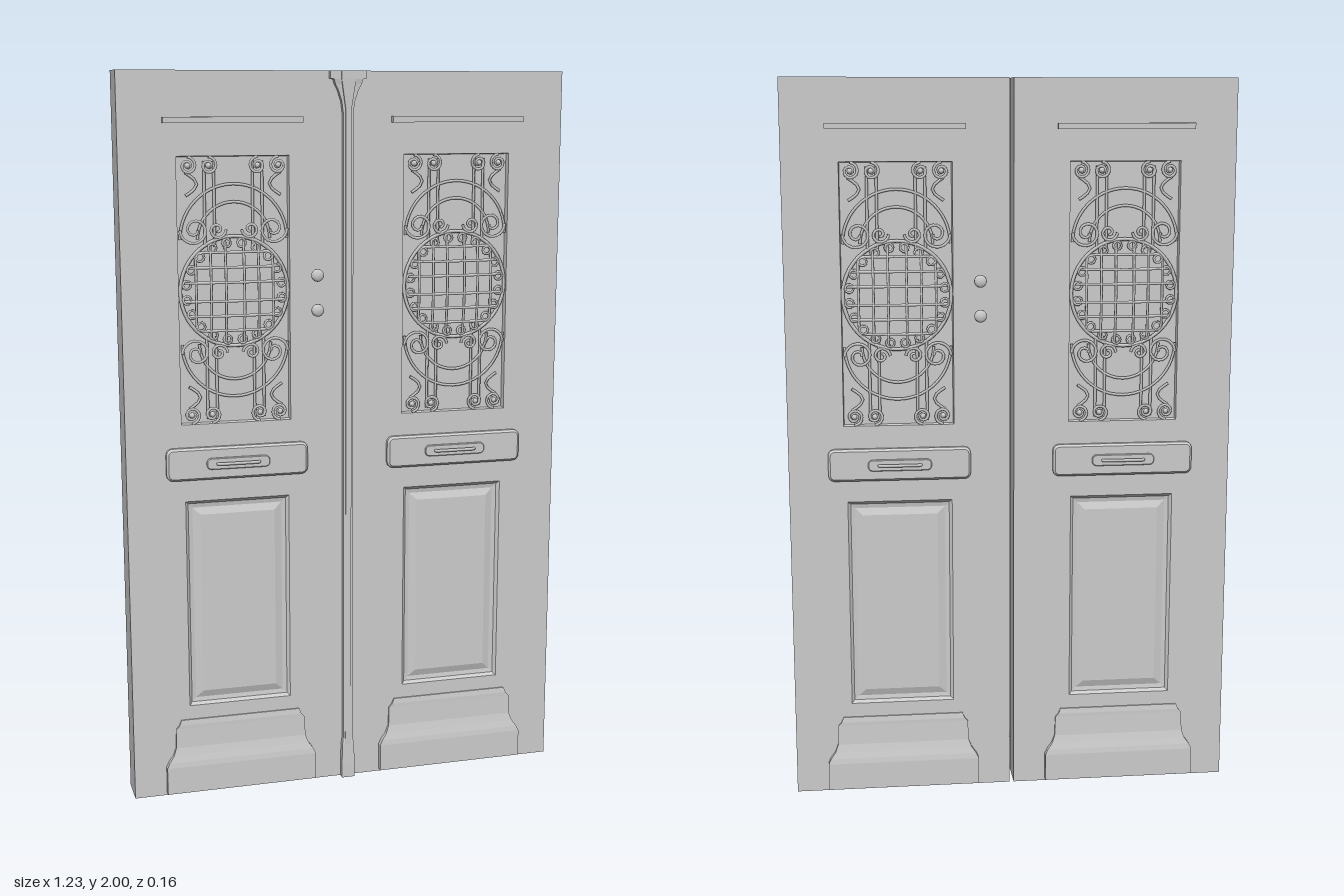
import * as THREE from 'three';
import { mergeGeometries } from 'three/addons/utils/BufferGeometryUtils.js';

const FRONT = 0.0475;   // half of the leaf thickness
const CX = 0.312;       // centre line of each leaf's ornaments
const mat = new THREE.MeshStandardMaterial({ color: 0xcccccc, side: THREE.DoubleSide });

function mesh(name, geometry, x = 0, y = 0, z = 0) {
  const m = new THREE.Mesh(geometry, mat);
  m.name = name;
  m.position.set(x, y, z);
  return m;
}

// Geometry from a list of four-cornered faces
function quads(list) {
  const pos = [];
  for (const [a, b, c, d] of list) pos.push(...a, ...b, ...c, ...a, ...c, ...d);
  const g = new THREE.BufferGeometry();
  g.setAttribute('position', new THREE.Float32BufferAttribute(pos, 3));
  g.computeVertexNormals();
  return g;
}

// Nested rectangles [halfWidth, halfHeight, z], closed by the last one
function nestedPanel(rings) {
  const c = rings.map(([w, h, z]) => [[-w, -h, z], [w, -h, z], [w, h, z], [-w, h, z]]);
  const faces = [c[c.length - 1]];
  for (let r = 0; r + 1 < c.length; r++) {
    for (let i = 0; i < 4; i++) {
      const j = (i + 1) % 4;
      faces.push([c[r][i], c[r][j], c[r + 1][j], c[r + 1][i]]);
    }
  }
  return quads(faces);
}

// Moulding on a flat ground, from rows [halfWidth, y, z] going upward
function moulding(rows) {
  const faces = [];
  const [wa, ya, za] = rows[0], [wb, yb, zb] = rows[rows.length - 1];
  faces.push([[-wa, ya, 0], [wa, ya, 0], [wa, ya, za], [-wa, ya, za]]);
  faces.push([[-wb, yb, zb], [wb, yb, zb], [wb, yb, 0], [-wb, yb, 0]]);
  for (let i = 0; i + 1 < rows.length; i++) {
    const [w0, y0, z0] = rows[i], [w1, y1, z1] = rows[i + 1];
    faces.push([[-w0, y0, z0], [w0, y0, z0], [w1, y1, z1], [-w1, y1, z1]]);
    faces.push([[-w0, y0, 0], [-w0, y0, z0], [-w1, y1, z1], [-w1, y1, 0]]);
    faces.push([[w0, y0, z0], [w0, y0, 0], [w1, y1, 0], [w1, y1, z1]]);
  }
  return quads(faces);
}

function roundedPlate(w, h, r, depth, bevel) {
  const x = w / 2 - bevel, y = h / 2 - bevel, s = new THREE.Shape();
  s.moveTo(-x + r, -y).lineTo(x - r, -y).quadraticCurveTo(x, -y, x, -y + r);
  s.lineTo(x, y - r).quadraticCurveTo(x, y, x - r, y);
  s.lineTo(-x + r, y).quadraticCurveTo(-x, y, -x, y - r);
  s.lineTo(-x, -y + r).quadraticCurveTo(-x, -y, -x + r, -y);
  return new THREE.ExtrudeGeometry(s, {
    depth: depth - bevel, bevelSize: bevel, bevelThickness: bevel, bevelSegments: 1, curveSegments: 5,
  });
}

// Wrought iron rod along f(t), t from 0 to 1
function rod(f, n, r = 0.004) {
  const pts = Array.from({ length: n + 1 }, (_, i) => new THREE.Vector3(...f(i / n)));
  return new THREE.TubeGeometry(new THREE.CatmullRomCurve3(pts), n, r, 5, false);
}
const arc = (cx, cy, r, a0, a1, n = 24, thick = 0.004) => rod((t) => {
  const a = a0 + (a1 - a0) * t;
  return [cx + r * Math.cos(a), cy + r * Math.sin(a), 0];
}, n, thick);
const scroll = (cx, cy, r, a0, turns) => rod((t) => {
  const a = a0 + turns * 2 * Math.PI * t, q = r * (1 - 0.8 * t);
  return [cx + q * Math.cos(a), cy + q * Math.sin(a), 0.002];
}, 22);

function grilleGeometry() {
  const R = 0.147, parts = [], PI = Math.PI;
  // Centre ring with a bowed lattice
  parts.push(new THREE.TorusGeometry(R, 0.005, 6, 48));
  const bow = (x, y) => 0.014 * (1 - (x * x + y * y) / (R * R));
  for (const k of [-0.105, -0.065, -0.025, 0.025, 0.065, 0.105]) {
    const half = Math.sqrt(R * R - k * k);
    parts.push(rod((t) => { const y = half * (2 * t - 1); return [k, y, bow(k, y)]; }, 10));
    parts.push(rod((t) => { const x = half * (2 * t - 1); return [x, k, bow(x, k)]; }, 10));
  }
  // Small curls inside the ring
  for (let i = 0; i < 20; i++) {
    const a = (i + 0.5) / 20 * 2 * PI;
    const curl = new THREE.TorusGeometry(0.011, 0.0035, 5, 10);
    curl.translate(0.131 * Math.cos(a), 0.131 * Math.sin(a), 0.003);
    parts.push(curl);
  }
  for (const s of [1, -1]) {
    // Concentric arches above and below
    parts.push(arc(0, s * 0.14, 0.145, 0, s * PI, 28));
    parts.push(arc(0, s * 0.14, 0.098, 0, s * PI, 22));
    for (const m of [1, -1]) {
      // Scrolls where arches meet the ring
      const start = s > 0 ? (m > 0 ? 0 : PI) : (m > 0 ? 0 : -PI);
      parts.push(scroll(m * 0.106, s * 0.165, 0.04, start, -m * s * 1.5));
      parts.push(scroll(m * 0.045, s * 0.165, 0.024, start + PI, m * s * 1.3));
      // Upright rods with curled ends
      for (const x of [0.052, 0.078]) {
        parts.push(rod((t) => [m * x, s * (0.12 + 0.225 * t), 0], 2));
      }
      for (const x of [0.066, 0.122]) {
        parts.push(scroll(m * x, s * 0.333, 0.023, s * PI / 2, m * s * 1.6));
        const bud = new THREE.SphereGeometry(0.008, 8, 6);
        bud.translate(m * x, s * 0.333, 0.003);
        parts.push(bud);
      }
      parts.push(rod((t) => [m * (0.128 - 0.03 * Math.sin(PI * t)), s * (0.315 - 0.06 * t), 0], 6));
    }
  }
  return mergeGeometries(parts.map((g) => g.toNonIndexed()));
}

// One leaf with openings for the window and the lower panel
function leafGeometry(side) {
  const s = new THREE.Shape();
  s.moveTo(0.006, 0).lineTo(0.617, 0).lineTo(0.617, 2).lineTo(0.006, 2).closePath();
  for (const [cy, w, h] of [[1.422, 0.152, 0.358], [0.555, 0.145, 0.295]]) {
    const hole = new THREE.Path();
    hole.moveTo(CX - w, cy - h).lineTo(CX - w, cy + h).lineTo(CX + w, cy + h).lineTo(CX + w, cy - h).closePath();
    s.holes.push(hole);
  }
  const g = new THREE.ExtrudeGeometry(s, { depth: 2 * FRONT, bevelEnabled: false });
  g.translate(0, 0, -FRONT);
  if (side < 0) g.rotateY(Math.PI);
  return g;
}

// All ornaments on one face of the door
function createFace() {
  const face = new THREE.Group();
  const grille = grilleGeometry();
  const pane = nestedPanel([[0.152, 0.358, 0], [0.15, 0.356, -0.016]]);
  const panel = nestedPanel([
    [0.145, 0.295, 0], [0.137, 0.287, -0.008], [0.125, 0.275, -0.01], [0.104, 0.255, -0.003],
  ]);
  const kick = moulding([
    [0.215, 0.008, 0.018], [0.215, 0.085, 0.018], [0.208, 0.1, 0.016], [0.195, 0.118, 0.012],
    [0.187, 0.14, 0.008], [0.185, 0.195, 0.006], [0.176, 0.205, 0.006], [0.17, 0.22, 0.004],
  ]);
  const loop = rod((t) => {
    const a = Math.PI * t, c = Math.cos(a);
    return [0.058 * Math.sign(c) * Math.abs(c) ** 0.25, 0, 0.016 + 0.0125 * Math.sin(a) ** 0.25];
  }, 24, 0.0045);
  for (const side of [-1, 1]) {
    const x = side * CX;
    const leaf = new THREE.Group();
    leaf.name = side > 0 ? 'leftLeafTrim' : 'rightLeafTrim';
    leaf.add(
      mesh('windowPane', pane, x, 1.422),
      mesh('windowGrille', grille, x, 1.422, -0.004),
      mesh('lowerPanel', panel, x, 0.555),
      mesh('kickPlate', kick, x, 0),
      mesh('topStrip', new THREE.BoxGeometry(0.375, 0.016, 0.016), x, 1.873, 0.008),
      mesh('letterPlate', roundedPlate(0.394, 0.09, 0.014, 0.016, 0.006), x, 0.956),
      mesh('slotPlate', roundedPlate(0.176, 0.032, 0.013, 0.007, 0.002), x, 0.956, 0.015),
      mesh('slotHandle', loop, x, 0.956),
    );
    face.add(leaf);
  }
  // Pair of knobs beside the seam
  const profile = [[0.011, 0], [0.01, 0.004], [0.007, 0.007], [0.012, 0.01], [0.0175, 0.016],
    [0.0165, 0.022], [0.01, 0.026], [0, 0.027]].map(([r, h]) => new THREE.Vector2(r, h));
  const knob = new THREE.LatheGeometry(profile, 20).rotateX(Math.PI / 2);
  for (const y of [1.46, 1.365]) face.add(mesh('knob', knob, -0.087, y));
  face.position.z = FRONT;
  return face;
}

export function createModel() {
  const model = new THREE.Group();
  model.name = 'doubleDoor';
  const door = new THREE.Group();
  door.name = 'door';
  door.position.z = -0.003;
  model.add(door);

  for (const side of [-1, 1]) door.add(mesh(side > 0 ? 'leftLeaf' : 'rightLeaf', leafGeometry(side)));

  // The back repeats the front, turned half round
  const front = createFace();
  front.name = 'frontTrim';
  const back = front.clone();
  back.name = 'backTrim';
  back.rotation.y = Math.PI;
  back.position.z = -FRONT;
  door.add(front, back);

  // Cover strip over the seam, flaring into a capital
  const strip = moulding([
    [0.019, 0, 0.019], [0.019, 0.04, 0.019], [0.017, 0.1, 0.017], [0.014, 0.12, 0.014],
    [0.014, 1.89, 0.014], [0.018, 1.92, 0.014], [0.028, 1.95, 0.015], [0.036, 1.965, 0.016],
    [0.04, 1.978, 0.018], [0.05, 1.98, 0.018], [0.05, 2, 0.018],
  ]);
  const rib = moulding([[0.01, 0.1, 0.017], [0.008, 0.14, 0.018], [0.008, 1.9, 0.018], [0.02, 1.98, 0.021], [0.02, 2, 0.021]]);
  door.add(mesh('seamStrip', strip, 0, 0, FRONT), mesh('seamRib', rib, 0, 0, FRONT));
  return model;
}
